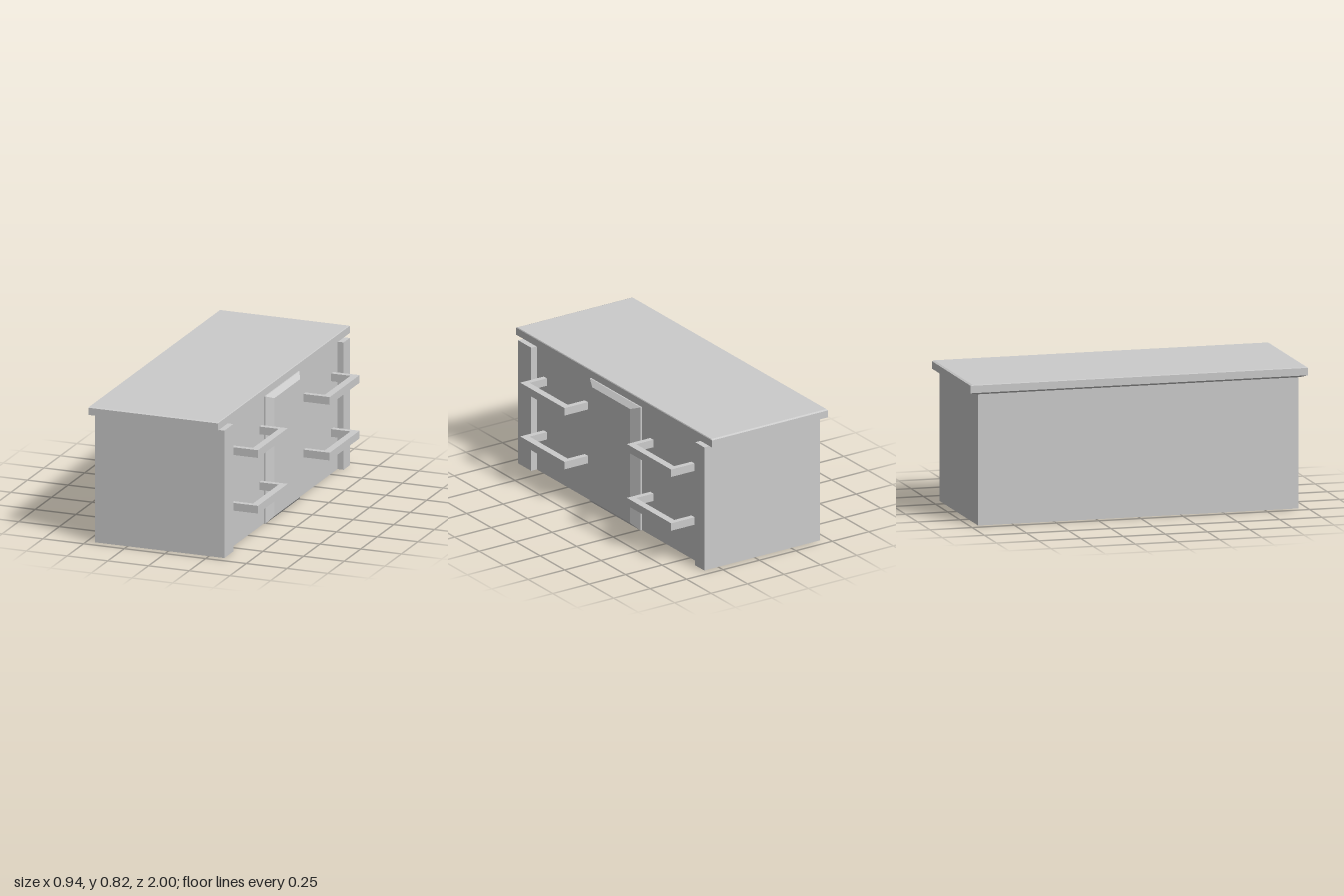
import * as THREE from 'three';

const material = new THREE.MeshStandardMaterial({ color: 0xcccccc, flatShading: true });

function addMesh(parent, name, geometry) {
  const mesh = new THREE.Mesh(geometry, material);
  mesh.name = name;
  parent.add(mesh);
  return mesh;
}

// Box given by its min and max on each axis
function addBox(parent, name, [x0, x1], [y0, y1], [z0, z1]) {
  const geometry = new THREE.BoxGeometry(x1 - x0, y1 - y0, z1 - z0);
  geometry.translate((x0 + x1) / 2, (y0 + y1) / 2, (z0 + z1) / 2);
  return addMesh(parent, name, geometry);
}

// Closed solid through stacked rectangles [y, x0, x1, z0, z1], bottom to top
function loftRectangles(layers) {
  const positions = [];
  const rings = layers.map(([y, x0, x1, z0, z1]) =>
    [[x0, y, z1], [x1, y, z1], [x1, y, z0], [x0, y, z0]]);
  const quad = (a, b, c, d) => positions.push(...a, ...b, ...c, ...a, ...c, ...d);
  for (let i = 0; i < rings.length - 1; i++) {
    for (let k = 0; k < 4; k++) {
      const n = (k + 1) % 4;
      quad(rings[i][k], rings[i][n], rings[i + 1][n], rings[i + 1][k]);
    }
  }
  const [b, t] = [rings[0], rings[rings.length - 1]];
  quad(b[3], b[2], b[1], b[0]);
  quad(t[0], t[1], t[2], t[3]);
  const geometry = new THREE.BufferGeometry();
  geometry.setAttribute('position', new THREE.Float32BufferAttribute(positions, 3));
  geometry.computeVertexNormals();
  return geometry;
}

export function createModel() {
  const model = new THREE.Group();
  model.name = 'sideboard';
  const face = 0.307, front = 0.345, height = 0.76;

  // Carcass and the two raised end stiles
  addBox(model, 'carcass', [-0.45, face], [0, height], [-0.95, 0.95]);
  addBox(model, 'leftStile', [face, front], [0, height], [0.815, 0.95]);
  addBox(model, 'rightStile', [face, front], [0, height], [-0.95, -0.858]);

  // Worktop, chamfered underneath and slightly eased on top
  addMesh(model, 'worktop', loftRectangles([
    [height, -0.45, 0.305, -0.955, 0.955],
    [0.772, -0.47, 0.325, -1, 1],
    [0.815, -0.47, 0.325, -1, 1],
    [0.82, -0.467, 0.322, -0.988, 0.988],
  ]));

  // Bevelled centre panel, lofted outward and turned to face +x
  const panel = loftRectangles([
    [face, -height, 0, -0.26, 0.26],
    [0.317, -height, 0, -0.26, 0.26],
    [front, -0.733, -0.03, -0.193, 0.193],
  ]);
  panel.rotateZ(-Math.PI / 2);
  addMesh(model, 'centrePanel', panel);

  // Four bracket handles: a bar on two legs
  for (const y of [0.22, 0.552]) {
    for (const z of [-0.795, 0.293]) {
      const handle = new THREE.Group();
      handle.name = 'handle';
      const length = 0.452, rise = [0, 0.046];
      addBox(handle, 'handleBar', [0.425, 0.468], rise, [0, length]);
      addBox(handle, 'handleLeg', [face, 0.425], rise, [0, 0.032]);
      addBox(handle, 'handleLeg', [face, 0.425], rise, [length - 0.032, length]);
      handle.position.set(0, y, z);
      model.add(handle);
    }
  }
  return model;
}
